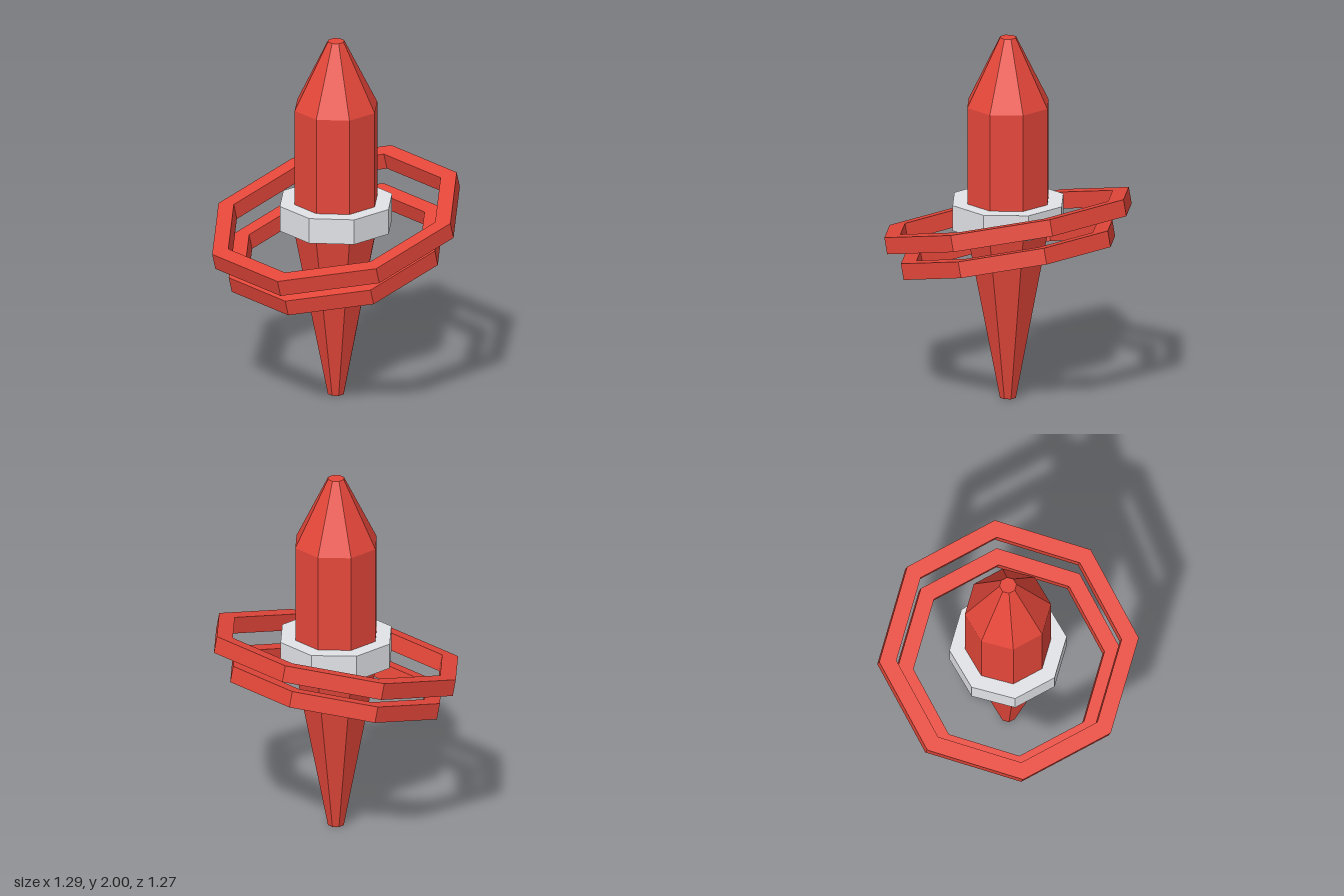
import * as THREE from 'three';

const SIDES = 8;
const TURN = Math.PI / SIDES;        // puts flat sides on the axes
const CORNER = 1 / Math.cos(TURN);   // flat-to-flat half width -> corner radius

const red = new THREE.MeshStandardMaterial({ color: 0xe5473a });
red.name = 'red';
const lightGrey = new THREE.MeshStandardMaterial({ color: 0xe4e5e9 });
lightGrey.name = 'lightGrey';

// Faceted octagonal prism or frustum between two heights
function prism(name, material, y0, y1, flat0, flat1, openEnded = false) {
  const indexed = new THREE.CylinderGeometry(
    flat1 * CORNER, flat0 * CORNER, y1 - y0, SIDES, 1, openEnded, TURN);
  const geometry = indexed.toNonIndexed();
  geometry.computeVertexNormals();
  const mesh = new THREE.Mesh(geometry, material);
  mesh.position.y = (y0 + y1) / 2;
  mesh.name = name;
  return mesh;
}

function octagon(flat) {
  return Array.from({ length: SIDES }, (_, i) => {
    const a = TURN + i * 2 * TURN;
    return new THREE.Vector2(Math.cos(a), Math.sin(a)).multiplyScalar(flat * CORNER);
  });
}

// Flat octagonal hoop, tipped down towards the front
function hoop(name, y, outer, inner, height, tilt) {
  const shape = new THREE.Shape(octagon(outer));
  shape.holes.push(new THREE.Path(octagon(inner)));
  const geometry = new THREE.ExtrudeGeometry(shape, { depth: height, bevelEnabled: false });
  geometry.translate(0, 0, -height / 2);
  geometry.rotateX(-Math.PI / 2);
  const mesh = new THREE.Mesh(geometry, red);
  mesh.position.y = y;
  mesh.rotation.x = tilt;
  mesh.name = name;
  return mesh;
}

export function createModel() {
  const model = new THREE.Group();
  model.name = 'ringedSpindle';

  // Central spindle
  model.add(prism('lowerSpike', red, 0, 0.93, 0.042, 0.213));
  model.add(prism('body', red, 0.93, 1.63, 0.213, 0.213, true));
  model.add(prism('upperTip', red, 1.63, 2, 0.213, 0.042));
  model.add(prism('collar', lightGrey, 0.957, 1.097, 0.29, 0.29));

  // Floating hoops
  const tilt = THREE.MathUtils.degToRad(14);
  model.add(hoop('upperRing', 0.98, 0.645, 0.56, 0.09, tilt));
  model.add(hoop('lowerRing', 0.817, 0.558, 0.475, 0.088, tilt));

  return model;
}
